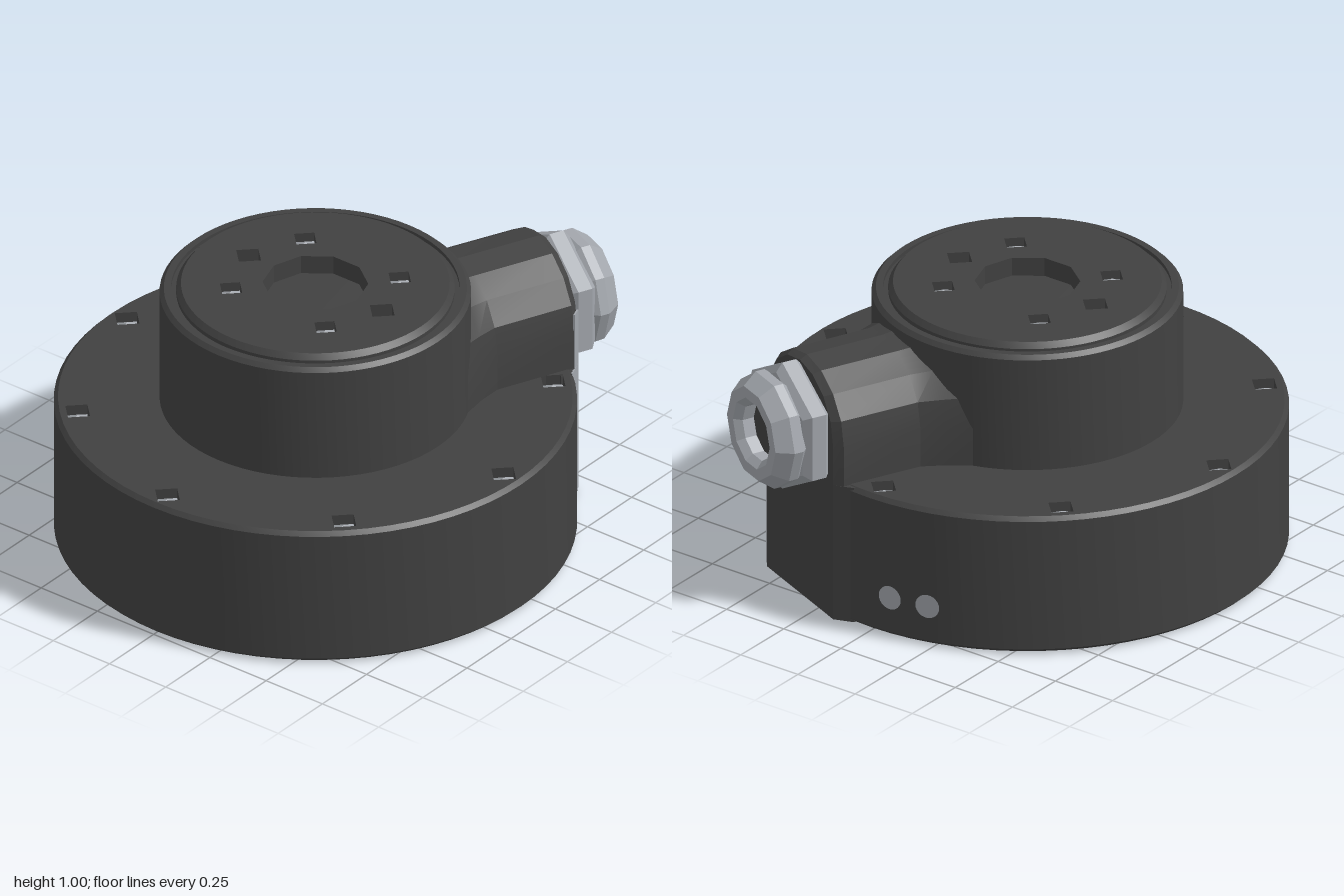
import * as THREE from 'three';
import { toCreasedNormals } from 'three/addons/utils/BufferGeometryUtils.js';

export function createModel() {
  const root = new THREE.Group();
  const body = new THREE.Group();
  body.name = 'body';
  body.position.x = -0.085;
  root.add(body);

  const dark = new THREE.MeshStandardMaterial({ color: 0x414141, side: THREE.DoubleSide });
  dark.name = 'dark grey housing';
  const metal = new THREE.MeshStandardMaterial({ color: 0xa2a6ac });
  metal.name = 'light grey metal';

  const add = (parent, name, geo, mat, x = 0, y = 0, z = 0) => {
    const mesh = new THREE.Mesh(geo, mat);
    mesh.name = name;
    mesh.position.set(x, y, z);
    parent.add(mesh);
    return mesh;
  };
  const lathe = (pts, segs, start = 0) => toCreasedNormals(
    new THREE.LatheGeometry(pts.map(p => new THREE.Vector2(...p)), segs, start), 0.4);
  const ngon = (Type, n, r, cx = 0, cy = 0) => new Type(Array.from({ length: n }, (_, i) => {
    const a = i / n * Math.PI * 2;
    return new THREE.Vector2(cx + r * Math.sin(a), cy + r * Math.cos(a));
  }));
  const polar = (r, deg) => {
    const a = deg * Math.PI / 180;
    return [r * Math.cos(a), r * Math.sin(a)];
  };

  // Flat face with polygonal holes; each hole is [x, z, radius, sides]
  const face = (outer, holes) => {
    const shape = ngon(THREE.Shape, 72, outer);
    for (const [x, z, r, n] of holes) shape.holes.push(ngon(THREE.Path, n, r, x, -z));
    return new THREE.ShapeGeometry(shape).rotateX(-Math.PI / 2);
  };
  // Recess with a shallow pointed floor
  const well = (name, [x, z, r, n], y, depth, point, mat) => {
    add(body, name + 'Wall', toCreasedNormals(
      new THREE.CylinderGeometry(r, r, depth, n, 1, true), 0.3), dark, x, y - depth / 2, z);
    add(body, name + 'Floor', toCreasedNormals(
      new THREE.ConeGeometry(r, point, n, 1, true), 0.1), mat, x, y - depth + point / 2, z);
  };

  // Wide round base with eight mounting recesses
  const baseHoles = Array.from({ length: 8 }, (_, i) => [...polar(0.837, i * 45), 0.055, 4]);
  add(body, 'base', lathe([[0, 0.006], [0.9, 0.006], [0.915, 0.02], [0.915, 0.52], [0.9, 0.535]], 72), dark);
  add(body, 'baseTop', face(0.9, [...baseHoles, [0, 0, 0.5, 48]]), dark, 0, 0.535, 0);
  for (const h of baseHoles) well('mountingHole', h, 0.535, 0.04, 0.025, metal);

  // Upper drum, groove and raised top plate
  add(body, 'drum', lathe([[0.545, 0.53], [0.545, 0.965], [0.53, 0.98], [0.505, 0.98],
    [0.505, 0.965], [0.487, 0.965], [0.487, 0.98], [0.47, 1.0]], 72), dark);
  const topHoles = [45, 135, 225, 315].map(d => [...polar(0.297, d), 0.05, 4]);
  const pinHoles = [90, 270].map(d => [...polar(0.297, d), 0.055, 4]);
  const bore = [0, 0, 0.185, 10];
  add(body, 'topPlate', face(0.47, [bore, ...topHoles, ...pinHoles]), dark, 0, 1.0, 0);
  for (const h of topHoles) well('topScrewHole', h, 1.0, 0.035, 0.022, metal);
  for (const h of pinHoles) well('pinHole', h, 1.0, 0.05, 0.01, dark);
  well('centreBore', bore, 1.0, 0.07, 0.002, dark);

  // Underside: scalloped cover, eight screws and eight plugs
  const coverPts = Array.from({ length: 96 }, (_, i) => {
    const a = i / 96 * Math.PI * 2;
    const r = 0.765 - 0.025 * Math.cos(8 * a - Math.PI);
    return new THREE.Vector2(r * Math.cos(a), r * Math.sin(a));
  });
  add(body, 'bottomCover', new THREE.ExtrudeGeometry(new THREE.Shape(coverPts),
    { depth: 0.004, bevelEnabled: false }).rotateX(-Math.PI / 2), dark, 0, 0.002, 0);
  for (let i = 0; i < 8; i++) {
    const [sx, sz] = polar(0.82, 22.5 + i * 45);
    add(body, 'bottomScrew', new THREE.CylinderGeometry(0.05, 0.05, 0.005, 16), metal, sx, 0.0035, sz);
    add(body, 'screwSocket', new THREE.BoxGeometry(0.05, 0.002, 0.05), dark, sx, 0.001, sz);
    const [px, pz] = polar(0.837, i * 45);
    add(body, 'bottomPlug', toCreasedNormals(
      new THREE.ConeGeometry(0.045, 0.005, 4).rotateX(Math.PI), 0.01), metal, px, 0.0035, pz);
  }

  // Two round indicators on the side wall
  for (const z of [-0.085, -0.23]) {
    const a = Math.asin(z / 0.918);
    const dot = add(body, 'indicator', new THREE.CircleGeometry(0.045, 24), metal,
      0.918 * Math.cos(a), 0.155, z);
    dot.rotation.y = Math.PI / 2 - a;
  }

  // Cable outlet, pointing along its own +x
  const outlet = new THREE.Group();
  outlet.name = 'cableOutlet';
  outlet.rotation.y = -23.5 * Math.PI / 180;
  body.add(outlet);

  // Lower block with chamfered corners
  const plan = [[0.82, -0.29], [0.862, -0.29], [0.914, -0.235], [0.914, 0.235], [0.862, 0.29], [0.82, 0.29]];
  add(outlet, 'outletBlock', new THREE.ExtrudeGeometry(
    new THREE.Shape(plan.map(p => new THREE.Vector2(...p))),
    { depth: 0.526, bevelEnabled: false }).rotateX(-Math.PI / 2), dark, 0, 0.006, 0);

  // Arched boss, flaring into the drum: [distance, half width, arch height]
  const stations = [[0.4, 0.36, 0.29], [0.5, 0.3, 0.265], [0.58, 0.265, 0.255],
    [0.886, 0.262, 0.255], [0.914, 0.235, 0.24]];
  const pos = [], idx = [], arc = 8, n = arc + 3;
  for (const [u, w, h] of stations) {
    pos.push(u, 0.5, -w);
    for (let i = 0; i <= arc; i++) {
      const a = i / arc * Math.PI;
      pos.push(u, 0.68 + h * Math.sin(a), -w * Math.cos(a));
    }
    pos.push(u, 0.5, w);
  }
  for (let s = 0; s < stations.length - 1; s++) {
    for (let i = 0; i < n - 1; i++) {
      const a = s * n + i, b = a + n;
      idx.push(a, a + 1, b, b, a + 1, b + 1);
    }
  }
  const end = (stations.length - 1) * n;
  for (let i = 1; i < n - 1; i++) idx.push(end, end + i, end + i + 1);
  // Make the winding face outwards
  for (let i = 0; i < idx.length; i += 3) {
    const p = [0, 1, 2].map(k => new THREE.Vector3().fromArray(pos, idx[i + k] * 3));
    const mid = p[0].clone().add(p[1]).add(p[2]).divideScalar(3);
    const nor = p[1].clone().sub(p[0]).cross(p[2].clone().sub(p[0]));
    if (nor.dot(mid.sub(new THREE.Vector3(0.7, 0.66, 0))) < 0) {
      [idx[i + 1], idx[i + 2]] = [idx[i + 2], idx[i + 1]];
    }
  }
  const boss = new THREE.BufferGeometry();
  boss.setAttribute('position', new THREE.Float32BufferAttribute(pos, 3));
  boss.setIndex(idx);
  add(outlet, 'outletBoss', toCreasedNormals(boss, 0.3), dark);

  // Light strip on the chamfered corner
  const strip = (u0, v0, u1, v1, y0, y1) => {
    const du = u1 - u0, dv = v1 - v0;
    const plate = add(outlet, 'cornerStrip', new THREE.BoxGeometry(Math.hypot(du, dv), y1 - y0, 0.006),
      metal, (u0 + u1) / 2, (y0 + y1) / 2, (v0 + v1) / 2);
    plate.rotation.y = -Math.atan2(dv, du);
  };
  strip(0.862, 0.29, 0.914, 0.235, 0.02, 0.532);
  strip(0.886, 0.262, 0.914, 0.235, 0.532, 0.75);

  // Cable gland: hex nut, faceted cap and dark opening
  const gland = new THREE.Group();
  gland.name = 'cableGland';
  gland.position.y = 0.68;
  gland.rotation.z = -Math.PI / 2;
  outlet.add(gland);
  add(gland, 'glandNut', lathe([[0.2, 0.91], [0.23, 0.914], [0.247, 0.93], [0.247, 0.985],
    [0.215, 1.01], [0.15, 1.01]], 6, Math.PI / 6), metal);
  add(gland, 'glandCap', lathe([[0.195, 1.0], [0.212, 1.02], [0.212, 1.055], [0.172, 1.11],
    [0.13, 1.11], [0.105, 1.085], [0.105, 1.0]], 10), metal);
  add(gland, 'glandOpening', new THREE.CylinderGeometry(0.108, 0.108, 0.02, 10), dark, 0, 1.03, 0);

  return root;
}
